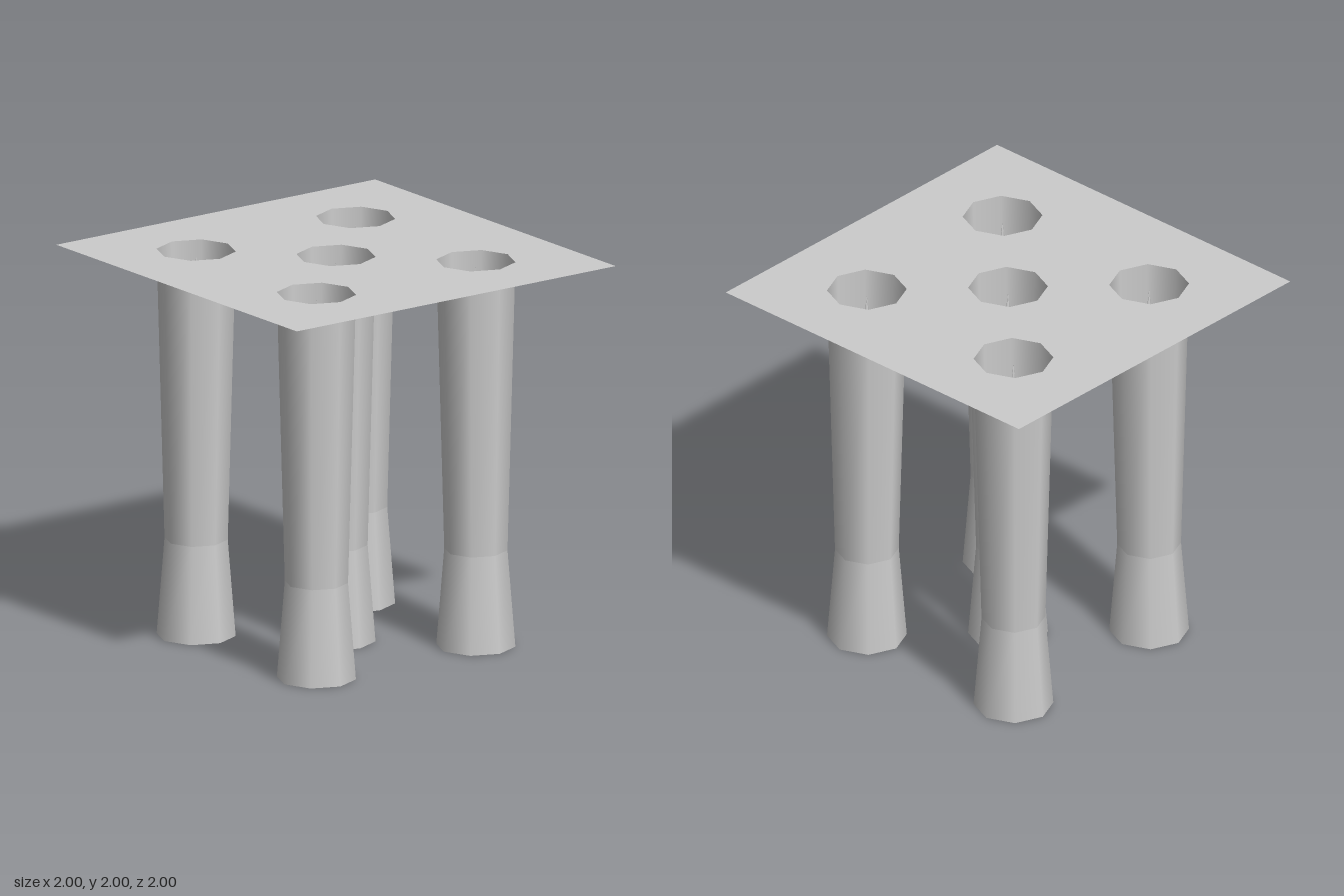
import * as THREE from 'three';

const SIDES = 8;
const HEIGHT = 2;
const RIM = 0.2;     // radius at the plate and at the foot
const NECK = 0.16;   // narrowest radius
const NECK_Y = 0.5;
const CENTRES = [[0, 0], [0.5, 0.5], [-0.5, 0.5], [0.5, -0.5], [-0.5, -0.5]];

const material = new THREE.MeshStandardMaterial({ color: 0xcccccc, side: THREE.DoubleSide });

function part(name, geometry, y = 0) {
  const mesh = new THREE.Mesh(geometry, material);
  mesh.name = name;
  mesh.position.y = y;
  return mesh;
}

// Open tapered tube between two heights
function taper(name, rTop, rBottom, y0, y1) {
  const geometry = new THREE.CylinderGeometry(rTop, rBottom, y1 - y0, SIDES, 1, true);
  return part(name, geometry, (y0 + y1) / 2);
}

// Thin square sheet with an octagonal hole above every leg
function createPlate() {
  const shape = new THREE.Shape([[-1, -1], [1, -1], [1, 1], [-1, 1]].map(p => new THREE.Vector2(...p)));
  for (const [x, z] of CENTRES) {
    const ring = [];
    for (let i = 0; i < SIDES; i++) {
      const a = -i / SIDES * Math.PI * 2;
      ring.push(new THREE.Vector2(x + RIM * Math.cos(a), -z + RIM * Math.sin(a)));
    }
    shape.holes.push(new THREE.Path(ring));
  }
  return part('plate', new THREE.ShapeGeometry(shape).rotateX(-Math.PI / 2), HEIGHT);
}

// Hollow leg with a narrow neck, a flared foot and a tall spike inside
function createLeg(x, z) {
  const leg = new THREE.Group();
  leg.name = 'leg';
  leg.position.set(x, 0, z);
  leg.add(
    taper('upperTube', RIM, NECK, NECK_Y, HEIGHT),
    taper('flaredFoot', NECK, RIM, 0, NECK_Y),
    taper('innerSpike', 0, RIM, 0, 1.97)
  );
  return leg;
}

export function createModel() {
  const model = new THREE.Group();
  model.name = 'perforatedTable';
  model.add(createPlate());
  for (const [x, z] of CENTRES) model.add(createLeg(x, z));
  return model;
}
